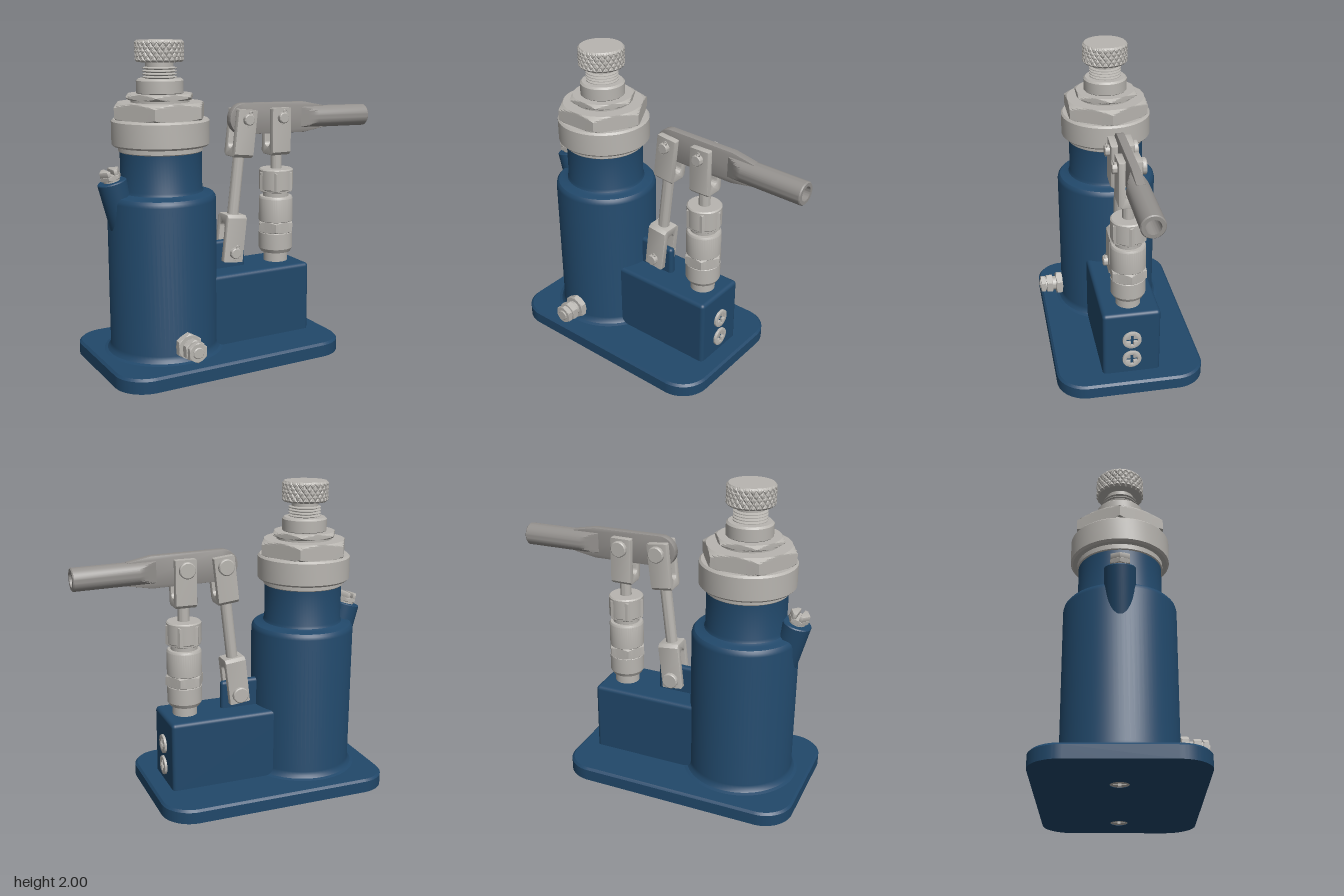
import * as THREE from 'three';
import { toCreasedNormals } from 'three/addons/utils/BufferGeometryUtils.js';
import { RoundedBoxGeometry } from 'three/addons/geometries/RoundedBoxGeometry.js';

const material = (name, color) => Object.assign(new THREE.MeshStandardMaterial({ color }), { name });

export function createModel() {
  const blue = material('blue paint', 0x21486a);
  const steel = material('steel', 0xb8b5b0);
  const dark = material('dark steel', 0x94918e);

  const root = new THREE.Group();
  root.name = 'hydraulicJack';
  const jack = new THREE.Group();
  jack.name = 'jack';
  jack.position.z = -0.008;
  root.add(jack);

  const group = (name, parent, x = 0, y = 0, z = 0) => {
    const g = new THREE.Group();
    g.name = name;
    g.position.set(x, y, z);
    parent.add(g);
    return g;
  };
  const add = (name, geo, mat, parent, x = 0, y = 0, z = 0) => {
    const m = new THREE.Mesh(geo, mat);
    m.name = name;
    m.position.set(x, y, z);
    parent.add(m);
    return m;
  };
  // Moves every vertex by a rule
  const warp = (geo, rule) => {
    const p = geo.attributes.position, v = new THREE.Vector3();
    for (let i = 0; i < p.count; i++) {
      rule(v.fromBufferAttribute(p, i));
      p.setXYZ(i, v.x, v.y, v.z);
    }
    return geo;
  };
  const crease = (geo, angle = 0.5) => toCreasedNormals(geo, angle);
  const lathe = (pts, seg = 64) =>
    new THREE.LatheGeometry(pts.map(([r, y]) => new THREE.Vector2(r, y)), seg);
  const turned = (pts, seg) => crease(lathe(pts, seg));
  // Cylinder with chamfered ends
  const drum = (r, y0, y1, c = 0.008) =>
    turned([[0, y0], [r - c, y0], [r, y0 + c], [r, y1 - c], [r - c, y1], [0, y1]], 48);
  // Hexagon nut with turned chamfers; corners lie on x
  const hex = (apothem, y0, y1) => {
    const corner = apothem / Math.cos(Math.PI / 6), rise = corner - apothem;
    const steps = [0, 0.33, 0.66, 1];
    const pts = [[0, y0], ...steps.map(t => [apothem + rise * t, y0 + rise * t * 0.6]),
      ...steps.map(t => [corner - rise * t, y1 - rise * (1 - t) * 0.6]), [0, y1]];
    return crease(warp(lathe(pts, 72), v => {
      const r = Math.hypot(v.x, v.z);
      if (r < 1e-6) return;
      const sector = Math.PI / 3, a = Math.atan2(v.x, v.z) + sector / 2;
      const d = a - Math.floor(a / sector + 1e-6) * sector - sector / 2;
      const k = Math.min(1, apothem / Math.cos(d) / r);
      v.x *= k;
      v.z *= k;
    }), 0.35);
  };
  const polygon = pts => new THREE.Shape(pts.map(([x, y]) => new THREE.Vector2(x, y)));
  const extrude = (shape, depth, bevel = 0) => crease(new THREE.ExtrudeGeometry(shape, {
    depth, bevelEnabled: bevel > 0, bevelSize: bevel, bevelThickness: bevel,
    bevelOffset: -bevel, bevelSegments: 2, curveSegments: 20,
  }));

  // Cross-slot screw head, facing +y
  const crossScrew = (name, parent, x, y, z) => {
    const g = group(name, parent, x, y, z);
    const head = new THREE.Shape().absarc(0, 0, 0.062, 0, Math.PI * 2);
    const a = 0.009, b = 0.036;
    head.holes.push(polygon([[a, a], [b, a], [b, -a], [a, -a], [a, -b], [-a, -b],
      [-a, -a], [-b, -a], [-b, a], [-a, a], [-a, b], [a, b]]));
    add('screwHead', extrude(head, 0.02, 0.004).rotateX(-Math.PI / 2), steel, g, 0, -0.014, 0);
    add('screwCore', drum(0.056, -0.04, -0.008, 0.002), steel, g);
    return g;
  };

  // Base plate with rounded corners, chamfered top and two screw pits
  const CX = -0.54, PX = 0.285;
  const hw = 0.767, hd = 0.483, r = 0.19;
  const plate = new THREE.Shape();
  plate.absarc(hw - r, hd - r, r, 0, Math.PI / 2);
  plate.absarc(r - hw, hd - r, r, Math.PI / 2, Math.PI);
  plate.absarc(r - hw, r - hd, r, Math.PI, Math.PI * 1.5);
  plate.absarc(hw - r, r - hd, r, Math.PI * 1.5, Math.PI * 2);
  const plateX = -0.222;
  for (const x of [CX, PX])
    plate.holes.push(new THREE.Path().absarc(x - plateX, 0, 0.055, 0, Math.PI * 2));
  const plateGeo = new THREE.ExtrudeGeometry(plate, { depth: 0.075, bevelSize: 0.014,
    bevelThickness: 0.014, bevelOffset: -0.014, bevelSegments: 1, curveSegments: 16 });
  plateGeo.rotateX(-Math.PI / 2);
  add('basePlate', crease(warp(plateGeo, v => { v.y = Math.max(0, v.y); })), blue, jack, plateX, 0, 0);
  for (const x of [CX, PX]) crossScrew('baseScrew', jack, x, 0.012, 0).rotation.z = Math.PI;

  // Main cylinder and pump block
  add('cylinderBody', turned([[0, 0.06], [0.375, 0.06], [0.375, 0.089], [0.355, 0.096], [0.341, 0.112],
    [0.335, 0.135], [0.335, 1.04], [0.33, 1.06], [0.318, 1.074], [0.3, 1.08], [0.275, 1.083],
    [0.258, 1.092], [0.25, 1.11], [0.25, 1.35], [0, 1.35]], 80), blue, jack, CX);
  add('pumpBlock', new RoundedBoxGeometry(0.88, 0.48, 0.376, 4, 0.025), blue, jack, -0.01, 0.302, 0);
  add('linkLug', new RoundedBoxGeometry(0.34, 0.24, 0.05, 4, 0.022), blue, jack, -0.13, 0.605, 0);
  for (const y of [0.195, 0.345]) crossScrew('blockScrew', jack, 0.436, y, 0).rotation.z = -Math.PI / 2;

  // Slanted filler neck with slotted plug
  const filler = group('filler', jack, -0.863, 1.173, 0);
  filler.rotation.z = Math.PI / 12;
  add('fillerNeck', drum(0.09, -0.42, 0, 0.006), blue, filler);
  add('plugCollar', drum(0.05, -0.01, 0.015, 0.003), steel, filler);
  add('plugHead', hex(0.056, 0.012, 0.04), steel, filler);
  const half = extrude(polygon([[0.011, -0.054], [0.031, -0.054], [0.062, 0], [0.031, 0.054], [0.011, 0.054]]), 0.032, 0.004);
  half.rotateX(-Math.PI / 2);
  for (const turn of [0, Math.PI]) add('plugHalf', half, steel, filler, 0, 0.036, 0).rotation.y = turn;

  // Drain valve on the front
  const drain = group('drainValve', jack, CX, 0.195, 0);
  drain.rotation.x = Math.PI / 2;
  add('drainStem', turned([[0, 0.3], [0.05, 0.3], [0.05, 0.47], [0, 0.47]], 32), steel, drain);
  add('drainNut', hex(0.073, 0.335, 0.38), steel, drain).rotation.y = Math.PI / 2;
  add('drainLockNut', hex(0.06, 0.405, 0.45), steel, drain).rotation.y = Math.PI / 2;
  add('drainCap', hex(0.056, 0.458, 0.49), steel, drain).rotation.y = Math.PI / 2;
  add('drainTip', drum(0.035, 0.48, 0.498, 0.005), steel, drain);

  // Head of the cylinder: ring, cap, nuts, collar and screw
  const head = group('ramHead', jack, CX);
  add('sealRing', drum(0.258, 1.335, 1.375, 0.005), steel, head);
  add('cap', drum(0.298, 1.37, 1.533, 0.012), steel, head);
  add('capNut', hex(0.258, 1.52, 1.632), steel, head);
  add('washer', drum(0.178, 1.625, 1.655, 0.004), steel, head);
  add('lockNut', hex(0.193, 1.647, 1.683), steel, head);
  add('collar', drum(0.143, 1.675, 1.772, 0.012), steel, head);
  const thread = [[0.085, 1.76]];
  for (let i = 0; i < 4; i++) {
    const y = 1.772 + i * 0.018;
    thread.push([0.085, y], [0.104, y + 0.006], [0.104, y + 0.01], [0.085, y + 0.016]);
  }
  thread.push([0.085, 1.88]);
  add('screwThread', turned(thread, 48), steel, head);

  // Knurled knob: two crossing sets of slanted grooves
  const rows = 18, knobPts = [[0, 1.87], [0.136, 1.87]];
  for (let i = 0; i <= rows; i++) knobPts.push([0.148, 1.882 + 0.106 * i / rows]);
  knobPts.push([0.136, 2], [0, 2]);
  const groove = t => Math.max(0, 1 - 4 * Math.abs(t - Math.round(t)));
  add('knob', crease(warp(lathe(knobPts, 144), v => {
    const rad = Math.hypot(v.x, v.z);
    if (rad < 0.14) return;
    const u = Math.atan2(v.x, v.z) / (Math.PI * 2) * 24, w = (v.y - 1.882) / 0.05;
    const k = 1 - 0.05 * Math.max(groove(u + w), groove(u - w));
    v.x *= k;
    v.z *= k;
  }), 0.3), steel, head);

  // Pump barrel
  const pump = group('pump', jack, PX);
  add('pumpBarrel', turned([[0, 0.53], [0.08, 0.53], [0.08, 0.6], [0.098, 0.605], [0.112, 0.63], [0.112, 0.735],
    [0.1, 0.745], [0.1, 0.8], [0.112, 0.815], [0.112, 0.965], [0.105, 0.978], [0.086, 0.98], [0.086, 1.02], [0, 1.02]], 48), steel, pump);
  add('pumpLowerNut', hex(0.109, 0.738, 0.812), steel, pump);
  add('pumpUpperNut', hex(0.104, 1.01, 1.148), steel, pump);
  add('pumpGland', drum(0.112, 1.02, 1.162, 0.008), steel, pump);
  add('pumpRod', drum(0.037, 1.15, 1.28, 0.002), steel, pump);

  // Forked clevis with its pin at the origin and its shank toward +y
  const s = 0.029, t = 0.073, tip = -0.062, end = 0.245;
  const fork = new THREE.Shape();
  fork.moveTo(-t, tip);
  fork.lineTo(-s, tip);
  fork.lineTo(-s, 0.16);
  fork.absarc(0, 0.16, s, Math.PI, 0, true);
  fork.lineTo(s, tip);
  fork.lineTo(t, tip);
  fork.lineTo(t, end - 0.02);
  fork.lineTo(t - 0.02, end);
  fork.lineTo(0.02 - t, end);
  fork.lineTo(-t, end - 0.02);
  const forkGeo = extrude(fork, 0.124, 0.008).translate(0, 0, -0.062).rotateY(Math.PI / 2);
  const clevis = (name, parent, x, y, flip) => {
    const g = group(name, parent, x, y, 0);
    add('fork', forkGeo, steel, g).rotation.z = flip ? Math.PI : 0;
    add('pin', drum(0.035, -0.09, 0.103, 0.005).rotateX(Math.PI / 2), steel, g);
    add('pinHead', drum(0.052, -0.105, -0.074, 0.006).rotateX(Math.PI / 2), steel, g);
    const cotter = group('cotterPin', g, 0, 0, 0.092);
    cotter.rotation.z = -0.25;
    add('cotterEye', new THREE.TorusGeometry(0.011, 0.004, 6, 16), steel, cotter, 0, 0.044, 0);
    for (const side of [-1, 1])
      add('cotterLeg', new THREE.CylinderGeometry(0.004, 0.004, 0.08, 8), steel, cotter, side * 0.004, -0.006, 0).rotation.z = side * 0.08;
    return g;
  };
  clevis('pumpClevis', jack, PX, 1.5, true);

  // Tilted link from the lug to the end of the lever
  const link = group('link', jack, -0.068, 0.645, 0);
  link.rotation.z = -Math.atan2(0.098, 0.855);
  const length = Math.hypot(0.098, 0.855);
  clevis('lowerClevis', link, 0, 0, false);
  clevis('upperClevis', link, 0, length, true);
  add('linkRod', drum(0.037, 0.22, length - 0.22, 0.002), steel, link);

  // Lever: flat bar blending into a hollow handle socket
  const lever = group('lever', jack, 0.03, 1.5, 0);
  lever.rotation.z = -0.02;
  const bar = new THREE.Shape();
  bar.absarc(0, 0, 0.1, Math.PI / 2, Math.PI * 1.5);
  bar.lineTo(0.46, -0.1);
  bar.lineTo(0.61, -0.072);
  bar.lineTo(0.61, 0.072);
  bar.lineTo(0.46, 0.1);
  add('leverBar', extrude(bar, 0.044, 0.003), dark, lever, 0, 0, -0.022);
  const tube = lathe([[0, 0.42], [0.072, 0.42], [0.072, 0.45], [0.072, 0.48], [0.072, 0.51], [0.072, 0.545],
    [0.072, 0.945], [0.066, 0.952], [0.045, 0.952], [0.045, 0.8], [0, 0.8]], 48);
  tube.rotateZ(-Math.PI / 2);
  add('handleSocket', crease(warp(tube, v => {
    const limit = Math.max(0.018, 0.024 + (v.x - 0.43) * 0.42);
    v.z = Math.max(-limit, Math.min(limit, v.z));
  })), dark, lever);

  return root;
}
